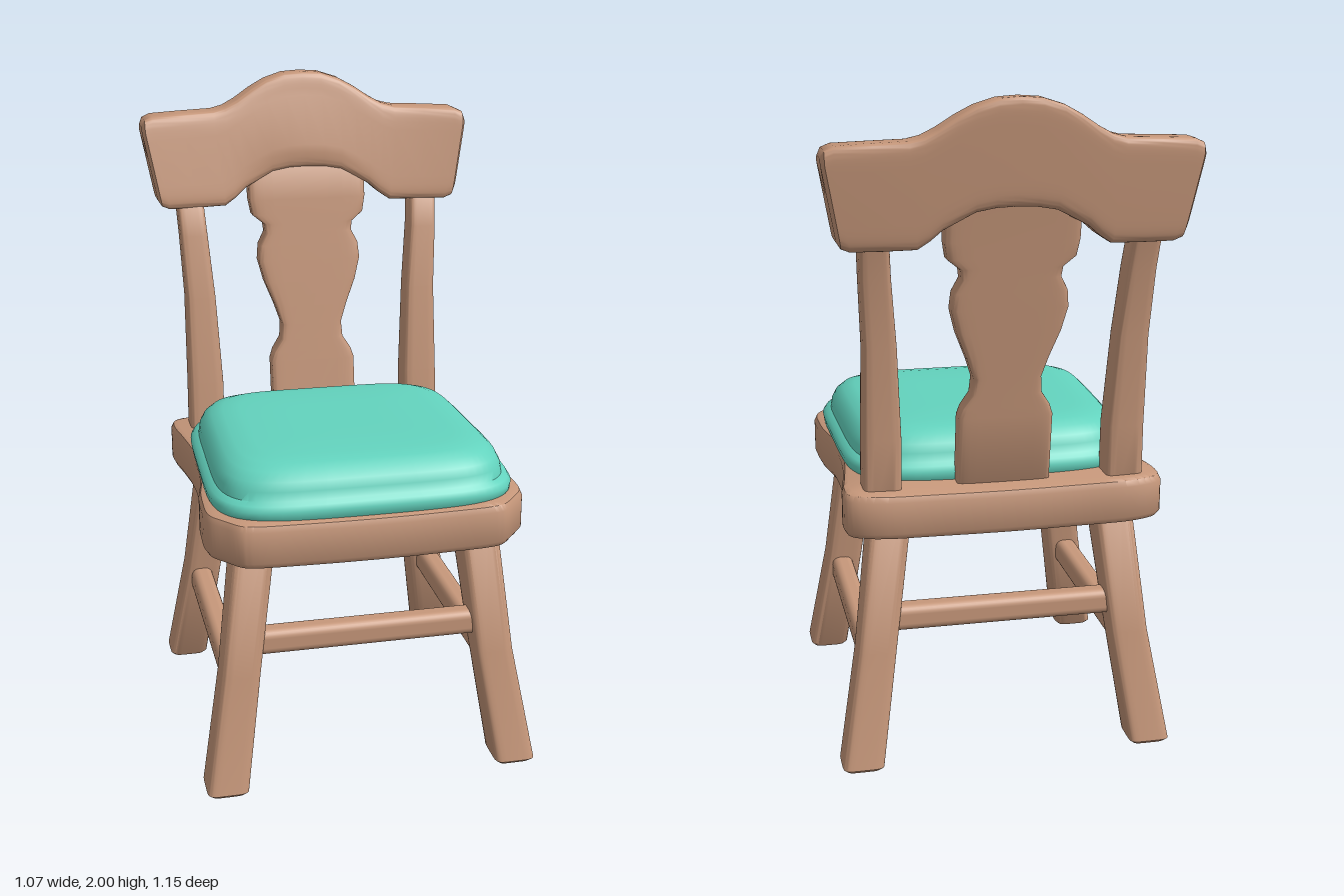
import * as THREE from 'three';
import { toCreasedNormals } from 'three/addons/utils/BufferGeometryUtils.js';
import { RoundedBoxGeometry } from 'three/addons/geometries/RoundedBoxGeometry.js';

// Skin a list of equal-length rings of [x, y, z] points, with capped ends.
function loft(rings, crease = 0.75) {
  const n = rings[0].length, pos = rings.flat(2), index = [];
  for (let r = 0; r < rings.length - 1; r++) {
    for (let i = 0; i < n; i++) {
      const a = r * n + i, b = r * n + (i + 1) % n;
      index.push(a, b, a + n, b, b + n, a + n);
    }
  }
  [0, rings.length - 1].forEach((r, end) => {
    const c = pos.length / 3;
    for (let k = 0; k < 3; k++) pos.push(rings[r].reduce((s, p) => s + p[k], 0) / n);
    for (let i = 0; i < n; i++) {
      const a = r * n + i, b = r * n + (i + 1) % n;
      if (end) index.push(a, b, c); else index.push(b, a, c);
    }
  });
  // Turn the faces outward if the rings ran the other way
  const v = (i) => new THREE.Vector3().fromArray(pos, i * 3);
  let volume = 0;
  for (let i = 0; i < index.length; i += 3) volume += v(index[i]).dot(v(index[i + 1]).cross(v(index[i + 2])));
  if (volume < 0) index.reverse();
  const g = new THREE.BufferGeometry();
  g.setAttribute('position', new THREE.Float32BufferAttribute(pos, 3));
  g.setIndex(index);
  return toCreasedNormals(g, crease);
}

// Rounded square in -1..1; a higher power gives tighter corners.
function roundedSquare(power, n = 32) {
  const f = (t) => Math.sign(t) * Math.abs(t) ** (2 / power);
  return Array.from({ length: n }, (_, i) => {
    const a = ((i + 0.5) / n) * Math.PI * 2;
    return [f(Math.cos(a)), f(Math.sin(a))];
  });
}

// Upright post through rows of [y, x, z, halfX, halfZ], with softened ends.
function post(rows, power = 6) {
  const soft = ([y, x, z, hx, hz]) => [y, x, z, hx - 0.012, hz - 0.012];
  const first = rows[0], last = rows[rows.length - 1];
  const body = rows.map((r) => [...r]);
  body[0][0] += 0.012;
  body[body.length - 1][0] -= 0.012;
  return loft([soft(first), ...body, soft(last)].map(([y, x, z, hx, hz]) =>
    roundedSquare(power).map(([u, w]) => [x + u * hx, y, z + w * hz])));
}

export function createModel() {
  const chair = new THREE.Group();
  chair.name = 'chair';
  const wood = new THREE.MeshStandardMaterial({ color: 0xc6977a });
  wood.name = 'wood';
  const teal = new THREE.MeshStandardMaterial({ color: 0x63d3be });
  teal.name = 'teal cushion';
  const dark = new THREE.MeshStandardMaterial({ color: 0x4a3c30 });
  dark.name = 'dark underside';
  const add = (name, geometry, material = wood) => {
    const m = new THREE.Mesh(geometry, material);
    m.name = name;
    chair.add(m);
    return m;
  };

  // Splayed legs and leaning back posts
  for (const [side, s] of [['left', 1], ['right', -1]]) {
    add(side + 'FrontLeg', post([[0, s * 0.447, 0.505, 0.063, 0.07], [0.36, s * 0.391, 0.447, 0.059, 0.057],
      [0.8, s * 0.335, 0.4, 0.062, 0.066]]));
    add(side + 'BackLeg', post([[0, s * 0.447, -0.412, 0.063, 0.063], [0.36, s * 0.391, -0.356, 0.059, 0.056],
      [0.8, s * 0.335, -0.304, 0.062, 0.066]]));
    add(side + 'BackPost', post([[0.8, s * 0.365, -0.342, 0.057, 0.056], [1.02, s * 0.364, -0.353, 0.056, 0.053],
      [1.3, s * 0.37, -0.385, 0.048, 0.047], [1.5, s * 0.383, -0.411, 0.044, 0.046],
      [1.63, s * 0.39, -0.442, 0.043, 0.045]]));
    add(side + 'Stretcher', new RoundedBoxGeometry(0.07, 0.085, 0.78, 3, 0.025)).position.set(s * 0.4, 0.312, 0.048);
  }
  for (const [name, z] of [['frontStretcher', 0.445], ['backStretcher', -0.35]]) {
    add(name, new RoundedBoxGeometry(0.72, 0.08, 0.07, 3, 0.025)).position.set(0, 0.45, z);
  }

  // Seat frame with waisted sides and clipped front corners
  const half = [[0.2, 0.56], [0.36, 0.558], [0.395, 0.548], [0.435, 0.505], [0.47, 0.46], [0.48, 0.42], [0.48, 0.36],
    [0.475, 0.27], [0.45, 0.12], [0.447, -0.08], [0.465, -0.24], [0.48, -0.35], [0.47, -0.41], [0.4, -0.44], [0.2, -0.44]];
  const outline = new THREE.CatmullRomCurve3(
    [...half, ...half.map(([x, z]) => [-x, z]).reverse()].map(([x, z]) => new THREE.Vector3(x, 0, z)), true, 'centripetal');
  const edge = outline.getPoints(120).slice(0, -1);
  add('seatFrame', loft([[0.728, 0.95], [0.733, 0.98], [0.75, 1], [0.845, 1], [0.862, 0.985], [0.868, 0.955]]
    .map(([y, k]) => edge.map((p) => {
      const dip = 0.008 * Math.cos(Math.min(1, Math.abs(p.x) / 0.45) * Math.PI / 2);
      return [p.x * k, y - dip, 0.06 + (p.z - 0.06) * k];
    }))));

  // Dark panel under the seat, between the legs
  add('seatUnderside', loft([0.716, 0.725].map((y) =>
    roundedSquare(5).map(([u, w]) => [u * 0.32, y, w * 0.35]))), dark);

  // Cushion: piped rim below a plump pillow, slightly wider at the front
  add('cushion', loft([[0.85, 0.44, 0.425], [0.87, 0.452, 0.436], [0.89, 0.455, 0.438], [0.905, 0.446, 0.43],
    [0.914, 0.43, 0.414], [0.94, 0.426, 0.408], [0.965, 0.414, 0.396], [0.988, 0.39, 0.373],
    [1.002, 0.355, 0.338], [1.009, 0.3, 0.29], [1.01, 0.15, 0.15]]
    .map(([y, hx, hz]) => roundedSquare(5.2, 64).map(([u, w]) => [u * hx * (1 + 0.025 * w), y, 0.107 + w * hz])), 0.9), teal);

  // Vase-shaped back splat, leaning with the posts
  const splatRows = [[0.8, 0.14], [1.07, 0.14], [1.1, 0.13], [1.14, 0.104], [1.19, 0.1], [1.25, 0.12], [1.33, 0.152],
    [1.4, 0.17], [1.45, 0.165], [1.49, 0.144], [1.52, 0.148], [1.55, 0.185], [1.6, 0.194], [1.73, 0.194]];
  add('backSplat', post(splatRows.map(([y, w]) => [y, 0, -0.335 - 0.15 * (y - 0.87), w, 0.037]), 9));

  // Arched top rail, bowed backward, with a carved swell in front: [x, bottom, top]
  const halfRail = [[0, 1.7, 2], [0.06, 1.698, 1.996], [0.12, 1.688, 1.977], [0.17, 1.664, 1.95], [0.22, 1.64, 1.917],
    [0.26, 1.61, 1.896], [0.3, 1.587, 1.886], [0.4, 1.585, 1.882], [0.5, 1.585, 1.877], [0.525, 1.595, 1.866],
    [0.535, 1.615, 1.845]];
  const frontZ = (x, y) => -0.37 - 0.15 * (y - 1.6) - (0.025 + 0.07 * (y - 1.6)) * (1 - (x / 0.535) ** 2)
    + 0.018 * Math.exp(-((x / 0.2) ** 2) - ((y - 1.79) / 0.08) ** 2);
  const backZ = (x, y) => -0.523 - 0.13 * (y - 1.6) + 0.015 * (x / 0.535) ** 2;
  const railRows = [...halfRail.slice(1).reverse().map(([x, b, t]) => [-x, b, t]), ...halfRail];
  add('topRail', loft(railRows.map(([x, bottom, top], i) => {
    const inset = i === 0 || i === railRows.length - 1 ? 0.75 : 1;
    return roundedSquare(8, 48).map(([u, w]) => {
      const y = (bottom + top) / 2 + (w * (top - bottom)) / 2;
      const f = frontZ(x, y), b = backZ(x, y);
      return [x * (1 - 0.35 * Math.max(0, 1.83 - y)), y, (f + b) / 2 + (u * inset * (f - b)) / 2];
    });
  })));
  return chair;
}
